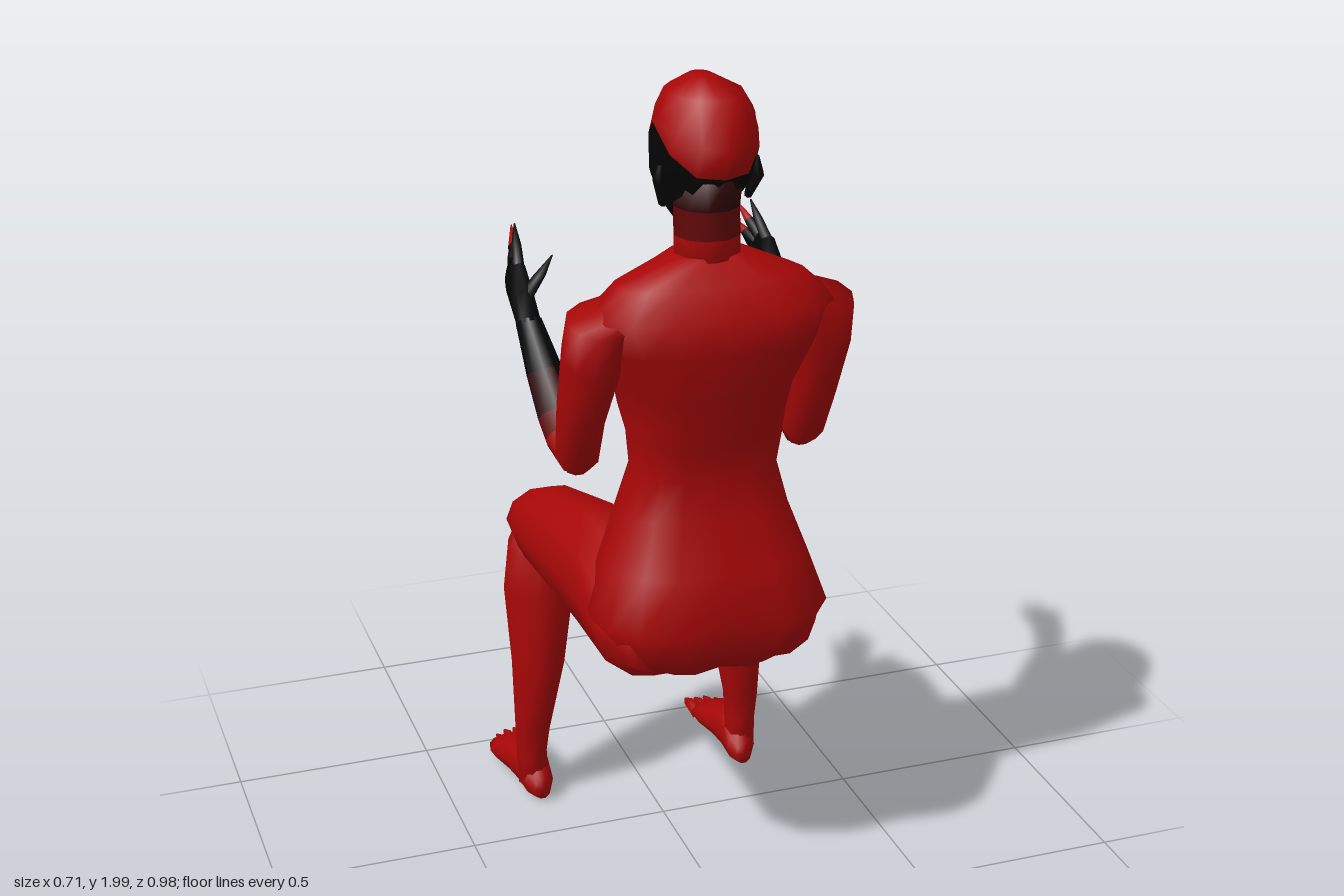
import * as THREE from 'three';

const material = (name, color) => {
  const m = new THREE.MeshStandardMaterial({ color });
  m.name = name;
  return m;
};

const X = new THREE.Vector3(1, 0, 0);
const UP = new THREE.Vector3(0, 1, 0);
const DOWN = new THREE.Vector3(0, -1, 0);
const AHEAD = new THREE.Vector3(0, 0, -1); // the figure faces -z
const RED = 0, BLACK = 1, DARK = 2, DEEP = 3;

// Smooth skin over rings [x, y, z, halfWidth, halfDepth].
// axis fixes the ring plane; without it rings follow the path.
// paint(span, angle) gives the material index of each face.
function loft(rings, { seg = 10, axis = null, side = 1, square = 1, paint = null, adjust = null } = {}) {
  const centres = rings.map(r => new THREE.Vector3(r[0] * side, r[1], r[2]));
  const last = rings.length - 1;
  const pos = [], index = [];
  const soft = t => Math.sign(t) * Math.pow(Math.abs(t), square);
  rings.forEach((r, i) => {
    const t = axis ? axis.clone()
      : centres[Math.min(i + 1, last)].clone().sub(centres[Math.max(i - 1, 0)]).normalize();
    const v = new THREE.Vector3().crossVectors(t, X).normalize();
    for (let j = 0; j < seg; j++) {
      const a = (j / seg) * Math.PI * 2;
      const p = centres[i].clone()
        .addScaledVector(X, soft(Math.cos(a)) * r[3])
        .addScaledVector(v, soft(Math.sin(a)) * r[4]);
      if (adjust) adjust(p, a, i);
      pos.push(p.x, p.y, p.z);
    }
  });
  const first = rings.length * seg;
  for (const c of [centres[0], centres[last]]) pos.push(c.x, c.y, c.z);
  const geo = new THREE.BufferGeometry();
  for (let i = 0; i < last; i++) {
    for (let j = 0; j < seg; j++) {
      const start = index.length;
      const k = (j + 1) % seg;
      const a = i * seg + j, b = i * seg + k, c = a + seg, d = b + seg;
      index.push(a, b, d, a, d, c);
      if (i === 0) index.push(first, b, a);
      if (i === last - 1) index.push(first + 1, c, d);
      if (paint) geo.addGroup(start, index.length - start, paint(i, ((j + 0.5) / seg) * Math.PI * 2));
    }
  }
  geo.setAttribute('position', new THREE.Float32BufferAttribute(pos, 3));
  geo.setIndex(index);
  geo.computeVertexNormals();
  return geo;
}

export function createModel() {
  const red = material('red', 0xa80707);
  const black = material('black', 0x040404);
  const darkRed = material('darkRed', 0x2c0505);
  const deepRed = material('deepRed', 0x620707);
  const mats = [red, black, darkRed, deepRed];
  const model = new THREE.Group();
  model.name = 'seatedFigure';
  const add = (name, geo, mat) => {
    const mesh = new THREE.Mesh(geo, mat);
    mesh.name = name;
    model.add(mesh);
    return mesh;
  };

  // Torso, grooved along the spine, the seat and between the breasts
  add('torso', loft([
    [0, 0.63, 0.34, 0.15, 0.09], [0, 0.665, 0.32, 0.23, 0.14], [0, 0.76, 0.305, 0.285, 0.193],
    [0, 0.88, 0.285, 0.245, 0.165], [0, 1.0, 0.27, 0.2, 0.14], [0, 1.1, 0.275, 0.172, 0.115],
    [0, 1.18, 0.282, 0.18, 0.128], [0, 1.235, 0.265, 0.19, 0.155], [0, 1.3, 0.268, 0.203, 0.168],
    [0, 1.42, 0.308, 0.25, 0.155], [0, 1.5, 0.33, 0.285, 0.127],
    [0, 1.56, 0.315, 0.22, 0.09], [0, 1.615, 0.298, 0.085, 0.068],
  ], {
    seg: 16, axis: UP, square: 0.8,
    adjust: (p, a, i) => {
      if (Math.abs(p.x) > 0.01) return;
      if (Math.sin(a) < 0) p.z -= p.y < 0.85 ? 0.025 : 0.008;
      else if (i === 7 || i === 8) p.z += 0.03;
    },
  }), red);

  // Neck, darkening under the head
  add('neck', loft([
    [0, 1.57, 0.298, 0.078, 0.07], [0, 1.655, 0.293, 0.077, 0.077],
    [0, 1.72, 0.288, 0.076, 0.08], [0, 1.8, 0.282, 0.085, 0.09],
  ], { axis: UP, paint: i => [RED, DEEP, DARK][i] }), mats);

  // Head: dark face below a hairline that peaks at the temples
  add('head', loft([
    [0, 1.67, 0.215, 0.05, 0.072], [0, 1.7, 0.225, 0.072, 0.085], [0, 1.75, 0.245, 0.1, 0.112],
    [0, 1.785, 0.25, 0.115, 0.12], [0, 1.835, 0.27, 0.119, 0.14], [0, 1.93, 0.285, 0.107, 0.147],
    [0, 1.97, 0.27, 0.086, 0.108], [0, 2.0, 0.245, 0.025, 0.03],
  ], {
    seg: 12, axis: UP, paint: i => (i < 4 ? BLACK : RED),
    adjust: (p, a, i) => {
      const back = Math.max(0, -Math.sin(a));
      if (i === 4) p.y += 0.075 * Math.abs(Math.cos(a)) ** 6 - 0.03 * back;
      if (i === 5) p.y -= 0.06 * back;
    },
  }), mats);
  add('nose', loft([
    [0, 1.795, 0.15, 0.022, 0.028], [0, 1.785, 0.12, 0.014, 0.016], [0, 1.785, 0.1, 0.004, 0.006],
  ], { seg: 6 }), black);
  add('lips', loft([
    [0, 1.728, 0.16, 0.032, 0.018], [0, 1.728, 0.125, 0.012, 0.008],
  ], { seg: 6 }), black);

  for (const side of [1, -1]) {
    const label = side > 0 ? 'left' : 'right';
    const part = (name, rings, mat, opts = {}) =>
      add(label + name, loft(rings, { side, ...opts }), mat);

    part('Ear', [
      [0.1, 1.725, 0.28, 0.008, 0.012], [0.114, 1.785, 0.3, 0.014, 0.028],
      [0.112, 1.82, 0.3, 0.006, 0.01],
    ], black, { seg: 6 });

    // Arm: the forearm is black inside and fades from red on the outside
    part('UpperArm', [
      [0.17, 1.535, 0.335, 0.05, 0.06], [0.258, 1.49, 0.33, 0.078, 0.085],
      [0.272, 1.4, 0.305, 0.067, 0.09], [0.28, 1.24, 0.24, 0.055, 0.072],
      [0.277, 1.12, 0.195, 0.052, 0.055], [0.275, 1.085, 0.18, 0.03, 0.03],
    ], red);
    part('Forearm', [
      [0.275, 1.1, 0.205, 0.04, 0.035], [0.28, 1.145, 0.145, 0.055, 0.057],
      [0.287, 1.18, 0.1, 0.053, 0.054], [0.3, 1.26, 0.03, 0.045, 0.046],
      [0.313, 1.36, -0.055, 0.032, 0.035],
    ], mats, {
      paint: (i, a) => (Math.cos(a) * side > 0 ? [RED, DEEP, DARK, BLACK] : [DEEP, BLACK, BLACK, BLACK])[i],
    });

    // Hand
    part('Palm', [
      [0.313, 1.35, -0.045, 0.031, 0.036], [0.314, 1.395, -0.1, 0.029, 0.048],
      [0.314, 1.435, -0.16, 0.026, 0.058], [0.312, 1.445, -0.19, 0.016, 0.045],
    ], black, { seg: 8 });
    const fingers = [
      ['Thumb', [0.31, 1.41, -0.09], [0.238, 1.5, -0.108], BLACK, 1.4],
      ['IndexFinger', [0.312, 1.47, -0.14], [0.298, 1.55, -0.215], BLACK, 1],
      ['MiddleFinger', [0.312, 1.46, -0.17], [0.288, 1.525, -0.28], RED, 1],
      ['RingFinger', [0.313, 1.435, -0.18], [0.283, 1.48, -0.305], RED, 1],
      ['LittleFinger', [0.318, 1.4, -0.17], [0.3, 1.41, -0.288], RED, 1],
    ];
    for (const [name, a, b, tip, k] of fingers) {
      const mid = a.map((q, i) => q + (b[i] - q) * 0.5);
      part(name, [[...a, 0.015 * k, 0.02 * k], [...mid, 0.012 * k, 0.014 * k], [...b, 0.002, 0.003]],
        mats, { seg: 6, paint: i => (i === 0 ? BLACK : tip) });
    }

    // Leg
    part('Thigh', [
      [0.14, 0.72, 0.42, 0.09, 0.08], [0.15, 0.735, 0.33, 0.13, 0.14],
      [0.162, 0.75, 0.13, 0.125, 0.15], [0.178, 0.765, 0.03, 0.122, 0.15],
      [0.222, 0.765, -0.2, 0.107, 0.106], [0.224, 0.752, -0.295, 0.092, 0.076],
      [0.224, 0.762, -0.33, 0.055, 0.042],
    ], red, { axis: AHEAD });
    part('Shin', [
      [0.23, 0.77, -0.235, 0.07, 0.07], [0.242, 0.7, -0.233, 0.09, 0.09],
      [0.255, 0.6, -0.222, 0.092, 0.092], [0.268, 0.4, -0.205, 0.068, 0.088],
      [0.285, 0.2, -0.208, 0.045, 0.053], [0.287, 0.13, -0.215, 0.04, 0.046],
      [0.284, 0.04, -0.21, 0.04, 0.045],
    ], red, { axis: DOWN });
    part('Foot', [
      [0.277, 0.043, -0.15, 0.022, 0.03], [0.279, 0.05, -0.18, 0.038, 0.046],
      [0.282, 0.073, -0.235, 0.045, 0.067], [0.284, 0.067, -0.29, 0.054, 0.054],
      [0.286, 0.05, -0.37, 0.07, 0.036], [0.284, 0.04, -0.425, 0.06, 0.024],
    ], red, { axis: AHEAD });
    const toes = [[0.237, 0.235, -0.495, 0.018], [0.261, 0.26, -0.49, 0.014],
      [0.283, 0.286, -0.488, 0.014], [0.305, 0.312, -0.47, 0.014], [0.326, 0.338, -0.435, 0.015]];
    toes.forEach(([x0, x1, z, r], i) => part('Toe' + (i + 1), [
      [x0, 0.04, z + 0.085, r, 0.02], [(x0 + x1) / 2, 0.04, z + 0.035, r * 0.85, 0.015],
      [x1, 0.035, z, 0.003, 0.005],
    ], red, { seg: 6, axis: AHEAD }));
  }
  return model;
}
